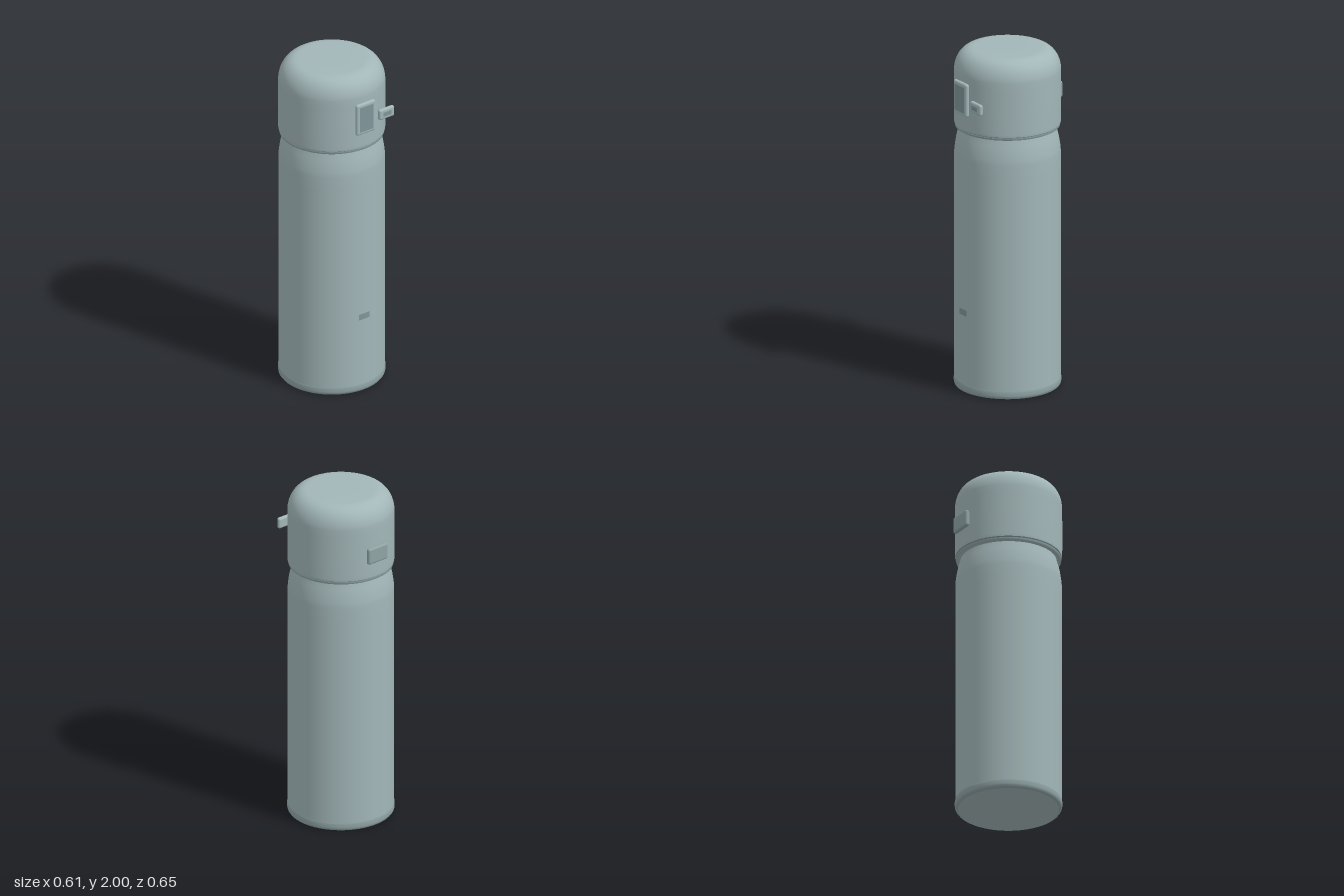
import * as THREE from 'three';
import { RoundedBoxGeometry } from 'three/addons/geometries/RoundedBoxGeometry.js';

export function createModel() {
  const model = new THREE.Group();
  model.name = 'vacuumFlask';

  const mat = (name, color) => new THREE.MeshStandardMaterial({ name, color });
  const shell = mat('paleTeal', 0xa2b6b8);
  const trim = mat('trimTeal', 0x8fa3a5);
  const inset = mat('insetTeal', 0x80959a);

  const add = (parent, name, geometry, material, x = 0, y = 0, z = 0) => {
    const mesh = new THREE.Mesh(geometry, material);
    mesh.name = name;
    mesh.position.set(x, y, z);
    parent.add(mesh);
    return mesh;
  };
  // Profile points are [radius, height], listed from bottom to top.
  const lathe = (points) =>
    new THREE.LatheGeometry(points.map(([r, y]) => new THREE.Vector2(r, y)), 96);

  // Base cap: flat underside, then a softly rounded band
  add(model, 'baseUnderside', lathe([[0, 0], [0.285, 0]]), shell);
  add(model, 'baseBand', lathe([
    [0.285, 0], [0.295, 0.004], [0.301, 0.012], [0.303, 0.022], [0.303, 0.042], [0.3, 0.05],
  ]), trim);

  // Main body with shoulder tapering into the neck
  add(model, 'body', lathe([
    [0.3, 0.048], [0.3, 0.1], [0.3, 1.3], [0.3, 1.39], [0.297, 1.42],
    [0.291, 1.46], [0.282, 1.5], [0.273, 1.53], [0.268, 1.56],
  ]), shell);

  // Lid: underside ring, lip, thin seam, then the rounded cap
  const lid = new THREE.Group();
  lid.name = 'lid';
  model.add(lid);
  add(lid, 'lidUnderside', lathe([[0.262, 1.54], [0.291, 1.54]]), shell);
  add(lid, 'lidLip', lathe([[0.291, 1.54], [0.296, 1.543], [0.297, 1.553]]), trim);
  add(lid, 'lidSeam', lathe([[0.297, 1.553], [0.293, 1.556], [0.3, 1.56]]), inset);
  const cap = [[0.3, 1.56], [0.302, 1.575], [0.302, 1.7], [0.302, 1.84]];
  for (let i = 1; i <= 14; i++) {
    const a = (i / 14) * Math.PI / 2;
    cap.push([0.187 + 0.115 * Math.cos(a) ** 0.85, 1.865 + 0.135 * Math.sin(a)]);
  }
  cap.push([0.1, 2], [0, 2]);
  add(lid, 'lidCap', lathe(cap), shell);

  // Rounded pads on the lid
  const pad = (w, h, d) => new RoundedBoxGeometry(w, h, d, 4, 0.0125);

  // Front release latch with a sunken-looking panel
  add(lid, 'latchFrame', pad(0.134, 0.195, 0.026), shell, 0, 1.7525, 0.31);
  add(lid, 'latchPanel', new THREE.BoxGeometry(0.094, 0.155, 0.006), inset, 0, 1.7525, 0.322);

  // Small lock slider beside the latch
  add(lid, 'lockFrame', pad(0.107, 0.066, 0.026), shell, 0.15, 1.733, 0.307);
  add(lid, 'lockPanel', new THREE.BoxGeometry(0.056, 0.025, 0.006), inset, 0.15, 1.733, 0.319);

  // Hinge pad at the back
  add(lid, 'hinge', pad(0.144, 0.098, 0.028), trim, 0, 1.708, -0.313);

  // Small curved plate low on the front
  const arc = 0.25;
  add(model, 'frontPlate',
    new THREE.CylinderGeometry(0.3025, 0.3025, 0.036, 8, 1, true, -arc / 2, arc),
    inset, 0, 0.478, 0);

  return model;
}
